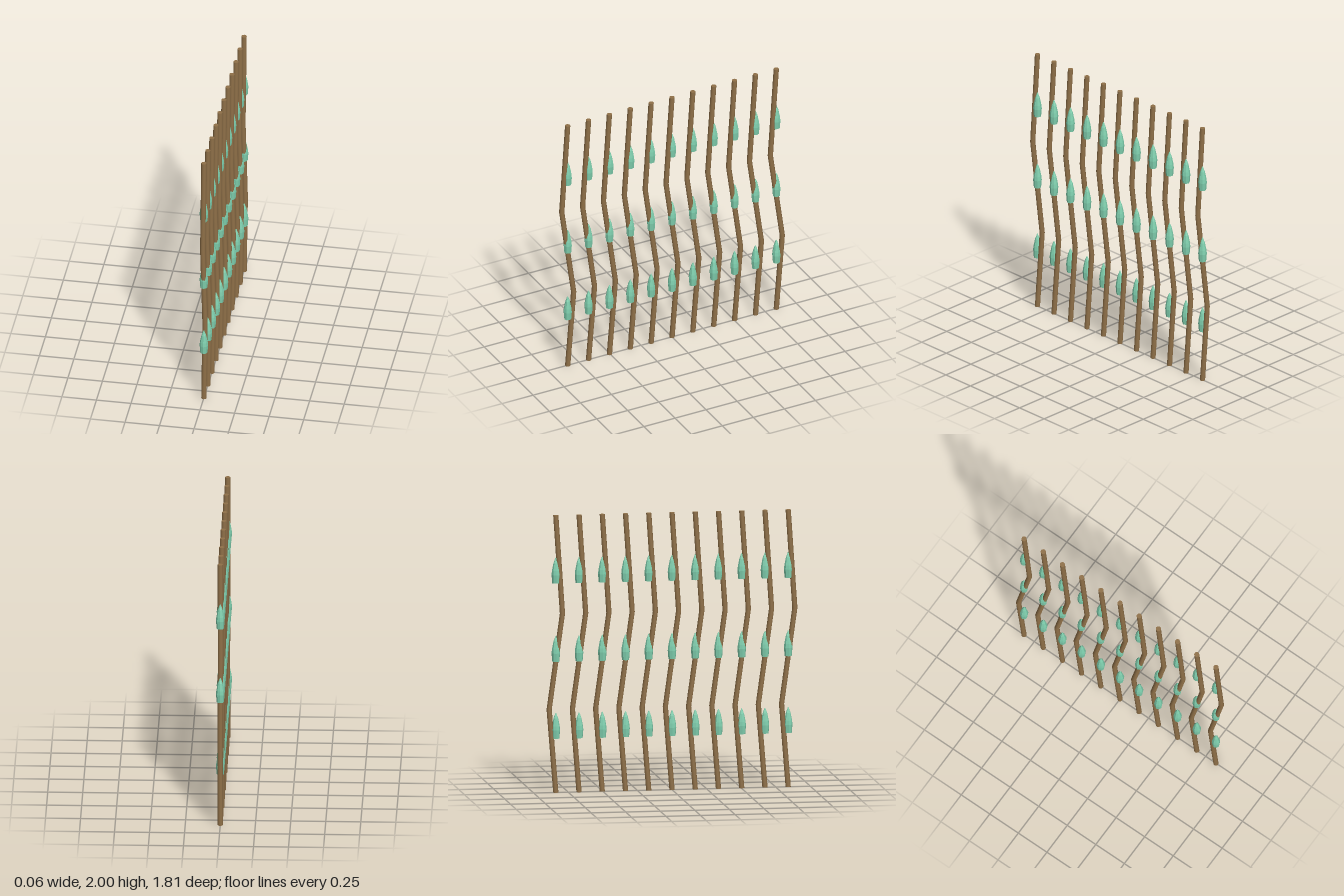
import * as THREE from 'three';

export function createModel() {
  const model = new THREE.Group();
  model.name = 'beadedStrands';

  const wood = new THREE.MeshStandardMaterial({ color: 0x8f7048 });
  const green = new THREE.MeshStandardMaterial({ color: 0x7fcfae, flatShading: true });

  // Zigzag stem: an upright cylinder whose four rings are moved to the bends
  const bends = [[0, 0], [0.6, -0.048], [1.29, 0.048], [2, 0]]; // [y, z]
  const stemGeometry = new THREE.CylinderGeometry(0.019, 0.019, 3, 12, 3);
  const p = stemGeometry.attributes.position;
  for (let i = 0; i < p.count; i++) {
    const [y, z] = bends[Math.round(p.getY(i) + 1.5)];
    p.setY(i, y);
    p.setZ(i, p.getZ(i) + z);
  }

  // Pointed bud with a flat base
  const profile = [[0, 0], [0.026, 0], [0.031, 0.06], [0.028, 0.09], [0.017, 0.145], [0.003, 0.183], [0, 0.185]];
  const budGeometry = new THREE.LatheGeometry(profile.map(([r, y]) => new THREE.Vector2(r, y)), 8);

  // Row of strands, each with three buds
  for (let i = -5; i <= 5; i++) {
    const strand = new THREE.Group();
    strand.name = 'strand';
    strand.position.z = i * 0.168;

    const stem = new THREE.Mesh(stemGeometry, wood);
    stem.name = 'stem';
    strand.add(stem);

    for (const y of [0.39, 0.945, 1.51]) {
      const bud = new THREE.Mesh(budGeometry, green);
      bud.name = 'bud';
      bud.position.y = y;
      strand.add(bud);
    }
    model.add(strand);
  }
  return model;
}
